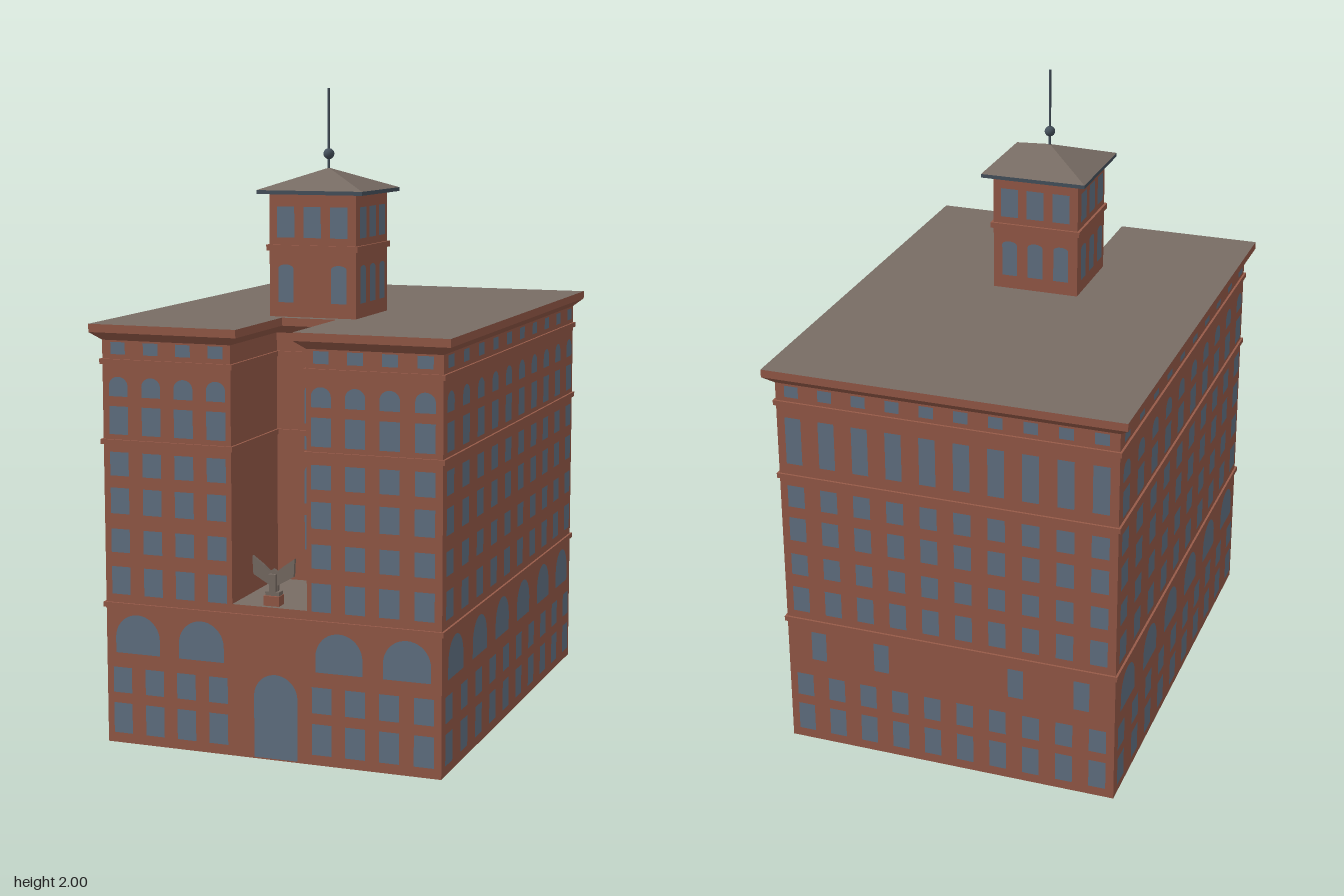
import * as THREE from 'three';
import { mergeGeometries } from 'three/addons/utils/BufferGeometryUtils.js';

const W = 0.54, D = 0.735, N = 0.12, B = 0.375; // half width, half depth, recess half width, recess back
const TZ = 0.233; // tower centre

const material = (name, color, side = THREE.FrontSide) => {
  const m = new THREE.MeshStandardMaterial({ color, side });
  m.name = name;
  return m;
};

// Plan outlines, pushed outward by o
const uPlan = (o = 0) => [
  [-W - o, -D - o], [W + o, -D - o], [W + o, D + o], [N - o, D + o],
  [N - o, B + o], [-N + o, B + o], [-N + o, D + o], [-W - o, D + o],
];
const rectPlan = (o = 0) => [[-W - o, -D - o], [W + o, -D - o], [W + o, D + o], [-W - o, D + o]];

// Sweeps a profile of [offset, y] pairs round a plan with mitred corners
function sweep(plan, profile) {
  const pos = [];
  for (let k = 0; k < profile.length - 1; k++) {
    const [o0, y0] = profile[k], [o1, y1] = profile[k + 1];
    const lo = plan(o0), hi = plan(o1);
    for (let i = 0; i < lo.length; i++) {
      const j = (i + 1) % lo.length;
      const a = [lo[i][0], y0, lo[i][1]], b = [lo[j][0], y0, lo[j][1]];
      const c = [hi[j][0], y1, hi[j][1]], d = [hi[i][0], y1, hi[i][1]];
      pos.push(...a, ...c, ...b, ...a, ...d, ...c);
    }
  }
  const g = new THREE.BufferGeometry();
  g.setAttribute('position', new THREE.Float32BufferAttribute(pos, 3));
  g.computeVertexNormals();
  return g;
}

// Flat horizontal slab face following a plan
function slab(points, y) {
  const s = new THREE.Shape(points.map(([x, z]) => new THREE.Vector2(x, -z)));
  return new THREE.ShapeGeometry(s).rotateX(-Math.PI / 2).translate(0, y, 0);
}

// One window pane; rise is the height of its arched head
function pane(x, y0, y1, w, rise = 0) {
  const s = new THREE.Shape();
  s.moveTo(x - w / 2, y0);
  s.lineTo(x + w / 2, y0);
  s.lineTo(x + w / 2, y1 - rise);
  if (rise) s.absellipse(x, y1 - rise, w / 2, rise, 0, Math.PI, false);
  else s.lineTo(x - w / 2, y1);
  return new THREE.ShapeGeometry(s, 10);
}

const spread = (n, first) => Array.from({ length: n }, (_, i) => first - (2 * first * i) / (n - 1));

export function createModel() {
  const model = new THREE.Group();
  const brick = material('brick', 0x965a48, THREE.DoubleSide);
  const glass = material('window glass', 0x627284);
  const roofing = material('roofing', 0x786c64, THREE.DoubleSide);
  const metal = material('dark metal', 0x46525d);

  const add = (name, geo, mat, x = 0, y = 0, z = 0) => {
    const m = new THREE.Mesh(geo, mat);
    m.name = name;
    m.position.set(x, y, z);
    model.add(m);
    return m;
  };
  const box = (w, h, d) => new THREE.BoxGeometry(w, h, d);

  // Hollow building with a recess in the front, open underneath
  add('walls', sweep(uPlan, [[0, 0], [0, 1.25]]), brick);
  add('entranceWall', new THREE.PlaneGeometry(2 * N, 0.47), brick, 0, 0.235, D);
  add('ceiling', slab(uPlan(), 0.445), brick);
  add('recessFloor', slab([[-N, B], [N, B], [N, D], [-N, D]], 0.47), roofing);
  add('cornice', sweep(uPlan, [[0, 1.25], [0.03, 1.275], [0.03, 1.3]]), brick);
  add('mainRoof', slab(uPlan(0.03), 1.3), roofing);

  // String courses
  [[rectPlan, 0.435], [uPlan, 0.94], [uPlan, 1.185]].forEach(([plan, y]) =>
    add('stringCourse', sweep(plan, [[0, y - 0.008], [0.007, y - 0.008], [0.007, y + 0.008], [0, y + 0.008]]), brick));

  // Windows
  const glaze = (name, panes, angle, x, z) => {
    const m = add(name, mergeGeometries(panes), glass, x, 0, z);
    m.rotation.y = angle;
  };
  const lowRows = [[0.032, 0.127], [0.16, 0.24]];
  const midRows = [[0.47, 0.556], [0.6, 0.673], [0.72, 0.8], [0.837, 0.91]];
  const highRow = [0.964, 1.05];
  const grid = (cols, rows, w) => cols.flatMap((x) => rows.map(([a, b]) => pane(x, a, b, w)));
  const facade = (cols, arches, w) => [
    ...grid(cols, [...lowRows, ...midRows, highRow], w),
    ...cols.map((x) => pane(x, 1.08, 1.14, w, w * 0.45)),
    ...grid(cols, [[1.208, 1.245]], w - 0.014),
    ...arches.map((x) => pane(x, 0.286, 0.408, 0.148, 0.074)),
  ];
  const e = 0.003;
  const frontCols = [-0.487, -0.379, -0.273, -0.167, 0.167, 0.273, 0.379, 0.487];
  const bays = [-0.434, -0.222, 0.222, 0.434];
  const sidePanes = () => facade(spread(10, 0.673), spread(6, 0.61), 0.068);
  glaze('frontWindows', facade(frontCols, bays, 0.062), 0, 0, D + e);
  glaze('leftWindows', sidePanes(), Math.PI / 2, W + e, 0);
  glaze('rightWindows', sidePanes(), -Math.PI / 2, -W - e, 0);
  const backCols = spread(10, 0.487);
  glaze('backWindows', [
    ...grid(backCols, [...lowRows, ...midRows], 0.055),
    ...grid(backCols, [[0.985, 1.14]], 0.052),
    ...grid(backCols, [[1.208, 1.245]], 0.045),
    ...grid(bays, [[0.3, 0.4]], 0.05),
  ], Math.PI, 0, -D - e);
  glaze('entranceDoor', [pane(0.02, 0.005, 0.265, 0.14, 0.07)], 0, 0, D + e);
  glaze('recessWindows', [
    pane(0, 0.97, 1.093, 0.055, 0.027), pane(0, 0.887, 0.93, 0.055),
    pane(0, 0.717, 0.843, 0.055, 0.027), pane(0, 0.57, 0.68, 0.055),
  ], 0, 0, B + e);

  // Rooftop tower
  add('tower', box(0.284, 0.39, 0.284), brick, 0, 1.49, TZ);
  add('towerBand', box(0.3, 0.018, 0.3), brick, 0, 1.513, TZ);
  const towerCols = [-0.087, 0, 0.087];
  for (let i = 0; i < 4; i++) {
    const a = (i * Math.PI) / 2;
    const lower = i === 0 ? [-0.087, 0.087] : towerCols;
    glaze('towerWindows', [
      ...lower.map((x) => pane(x, 1.345, 1.462, 0.05, 0.012)),
      ...towerCols.map((x) => pane(x, 1.545, 1.64, 0.057)),
    ], a, Math.sin(a) * (0.142 + e), TZ + Math.cos(a) * (0.142 + e));
  }
  add('towerEave', box(0.345, 0.012, 0.345), metal, 0, 1.684, TZ);
  const hip = new THREE.ConeGeometry(0.1725 * Math.SQRT2, 0.065, 4).rotateY(Math.PI / 4).toNonIndexed();
  hip.computeVertexNormals();
  add('towerRoof', hip, roofing, 0, 1.7225, TZ);
  add('mast', new THREE.CylinderGeometry(0.004, 0.004, 0.25, 8), metal, 0, 1.875, TZ);
  add('mastBall', new THREE.SphereGeometry(0.017, 16, 12), metal, 0, 1.798, TZ);

  // Winged statue on its pedestal at the front of the recess
  add('pedestal', box(0.05, 0.03, 0.04), brick, 0, 0.485, 0.7);
  const half = [[0.013, 0.5], [0.013, 0.53], [0.065, 0.56], [0.068, 0.615], [0.03, 0.588], [0.012, 0.572]];
  const outline = [...half, [0, 0.58], ...half.slice().reverse().map(([x, y]) => [-x, y])];
  const wings = new THREE.Shape(outline.map(([x, y]) => new THREE.Vector2(x, y)));
  add('statueWings', new THREE.ExtrudeGeometry(wings, { depth: 0.012, bevelEnabled: false }), roofing, 0, 0, 0.69);
  add('statueBody', box(0.022, 0.065, 0.03), roofing, 0, 0.5325, 0.697);
  add('statueFeet', box(0.045, 0.012, 0.03), roofing, 0, 0.506, 0.697);
  return model;
}
